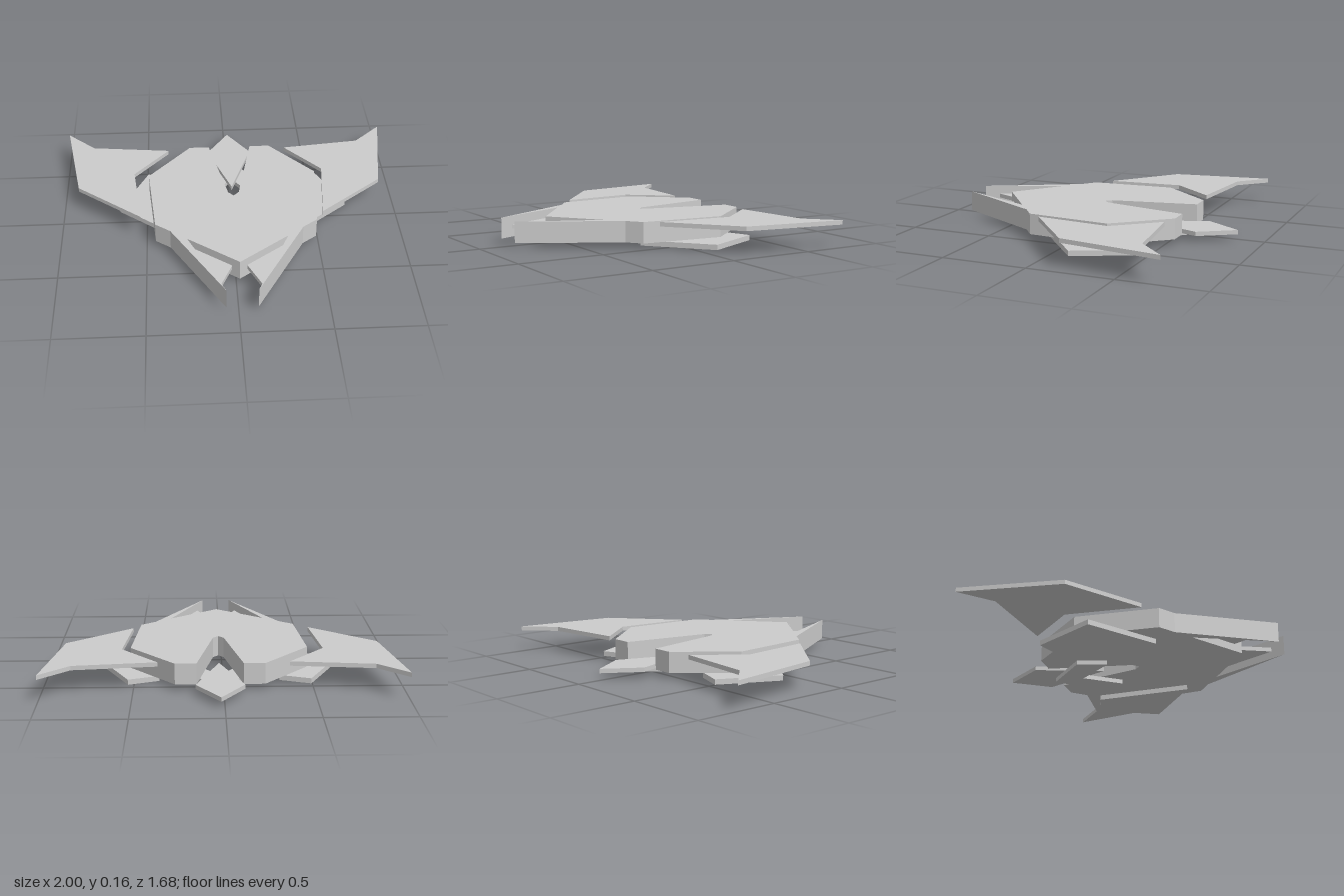
import * as THREE from 'three';

const grey = new THREE.MeshStandardMaterial({ color: 0xcccccc, flatShading: true });
const HULL_AXIS = 0.02; // the hull and lower plates sit slightly off centre

// Flat plate: plan outline as [x, z] points, standing from y0 to y1
function plate(name, outline, y0, y1) {
  const shape = new THREE.Shape(outline.map(([x, z]) => new THREE.Vector2(x, -z)));
  const geometry = new THREE.ExtrudeGeometry(shape, { depth: y1 - y0, bevelEnabled: false });
  geometry.rotateX(-Math.PI / 2).translate(0, y0, 0);
  const mesh = new THREE.Mesh(geometry, grey);
  mesh.name = name;
  return mesh;
}

// Mirror an outline across x = axis
const mirror = (outline, axis) => outline.map(([x, z]) => [2 * axis - x, z]);

// Complete a half outline (left side, in order) into a symmetric one
const symmetric = (half, axis) => [
  ...half,
  ...mirror(half, axis).reverse().filter(([x]) => Math.abs(x - axis) > 1e-6),
];

export function createModel() {
  const model = new THREE.Group();
  model.name = 'spacecraft';

  // Thick hull with rear slot and two forward prongs
  const hull = [
    [HULL_AXIS, -0.025], [0.052, -0.06], [0.15, -0.557], [0.27, -0.557], [0.527, -0.255],
    [0.488, 0.237], [0.402, 0.303], [0.108, 0.837], [0.307, 0.38], [HULL_AXIS, 0.602],
  ];
  model.add(plate('hull', symmetric(hull, HULL_AXIS), 0.035, 0.155));

  // Diamond tail plate
  const tail = [[HULL_AXIS, -0.847], [0.155, -0.64], [HULL_AXIS, -0.25]];
  model.add(plate('tailPlate', symmetric(tail, HULL_AXIS), 0.035, 0.06));

  // Chevron under the slot
  const chevron = [[HULL_AXIS, -0.56], [0.22, -0.35], [0.165, -0.18], [HULL_AXIS, -0.38]];
  model.add(plate('lowerChevron', symmetric(chevron, HULL_AXIS), 0.004, 0.03));

  // Paired parts: swept wings, lower side plates, webs between prongs and nose
  const pairs = [
    ['Wing', 0, 0.13, 0.155,
      [[1, -0.745], [0.835, -0.585], [0.365, -0.53], [0.575, -0.28], [0.532, 0.16], [0.908, -0.15]]],
    ['LowerPlate', HULL_AXIS, 0, 0.03,
      [[0.36, 0.18], [0.36, -0.39], [0.535, -0.455], [0.705, -0.105]]],
    ['ProngWeb', HULL_AXIS, 0.08, 0.105,
      [[0.143, 0.755], [0.062, 0.57], [0.27, 0.38], [0.31, 0.38]]],
  ];
  for (const [name, axis, y0, y1, outline] of pairs) {
    model.add(plate('left' + name, outline, y0, y1));
    model.add(plate('right' + name, mirror(outline, axis), y0, y1));
  }
  return model;
}
